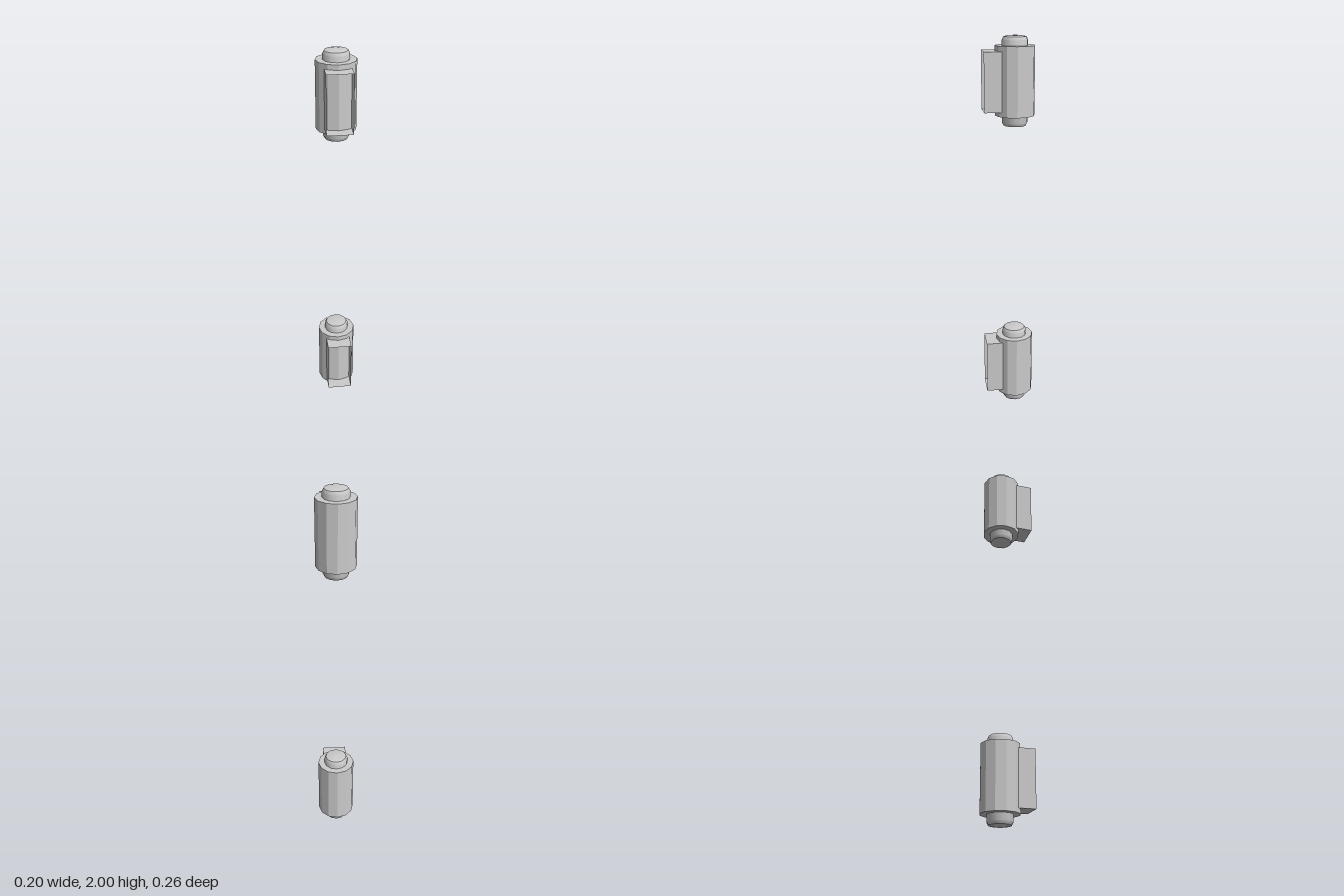
import * as THREE from 'three';
import { toCreasedNormals } from 'three/addons/utils/BufferGeometryUtils.js';

const SIDES = 12;
const LENGTH = 0.445; // pin length of one hinge
const AXIS_Z = -0.03; // pin axis

const smooth = new THREE.MeshStandardMaterial({ color: 0xcccccc });
const faceted = new THREE.MeshStandardMaterial({ color: 0xcccccc, flatShading: true });
const thin = new THREE.MeshStandardMaterial({ color: 0xcccccc, side: THREE.DoubleSide });

function addMesh(parent, name, geometry, material, x, y, z) {
  const mesh = new THREE.Mesh(geometry, material);
  mesh.name = name;
  mesh.position.set(x, y, z);
  parent.add(mesh);
  return mesh;
}

// Pin with bevelled, slightly domed ends
function pinGeometry() {
  const end = [[0, 0], [0.03, 0.001], [0.057, 0.006], [0.065, 0.021]];
  const top = end.map(([r, y]) => [r, LENGTH - y]).reverse();
  const profile = [...end, ...top].map(([r, y]) => new THREE.Vector2(r, y));
  return toCreasedNormals(new THREE.LatheGeometry(profile, SIDES), 0.6);
}

// Thin-walled sleeve, open at the front, running back into the barrel
function createBracket() {
  const bracket = new THREE.Group();
  bracket.name = 'bracket';
  const [halfW, y0, y1, z0, z1] = [0.065, 0.08, 0.372, 0.03, 0.13];
  const height = y1 - y0, depth = z1 - z0;
  const midY = (y0 + y1) / 2, midZ = (z0 + z1) / 2;
  for (const s of [1, -1]) {
    const side = addMesh(bracket, s > 0 ? 'leftPlate' : 'rightPlate',
      new THREE.PlaneGeometry(depth, height), thin, s * halfW, midY, midZ);
    side.rotation.y = s * Math.PI / 2;
    const cap = addMesh(bracket, s > 0 ? 'topPlate' : 'bottomPlate',
      new THREE.PlaneGeometry(halfW * 2, depth), thin, 0, midY + s * height / 2, midZ);
    cap.rotation.x = -s * Math.PI / 2;
  }
  return bracket;
}

function createHinge(name, y) {
  const hinge = new THREE.Group();
  hinge.name = name;
  hinge.position.y = y;
  addMesh(hinge, 'barrel', new THREE.CylinderGeometry(0.1, 0.1, 0.34, SIDES), faceted, 0, 0.227, AXIS_Z);
  addMesh(hinge, 'pin', pinGeometry(), smooth, 0, 0, AXIS_Z);
  hinge.add(createBracket());
  return hinge;
}

export function createModel() {
  const model = new THREE.Group();
  model.name = 'hingePair';
  model.add(createHinge('lowerHinge', 0), createHinge('upperHinge', 2 - LENGTH));
  return model;
}
